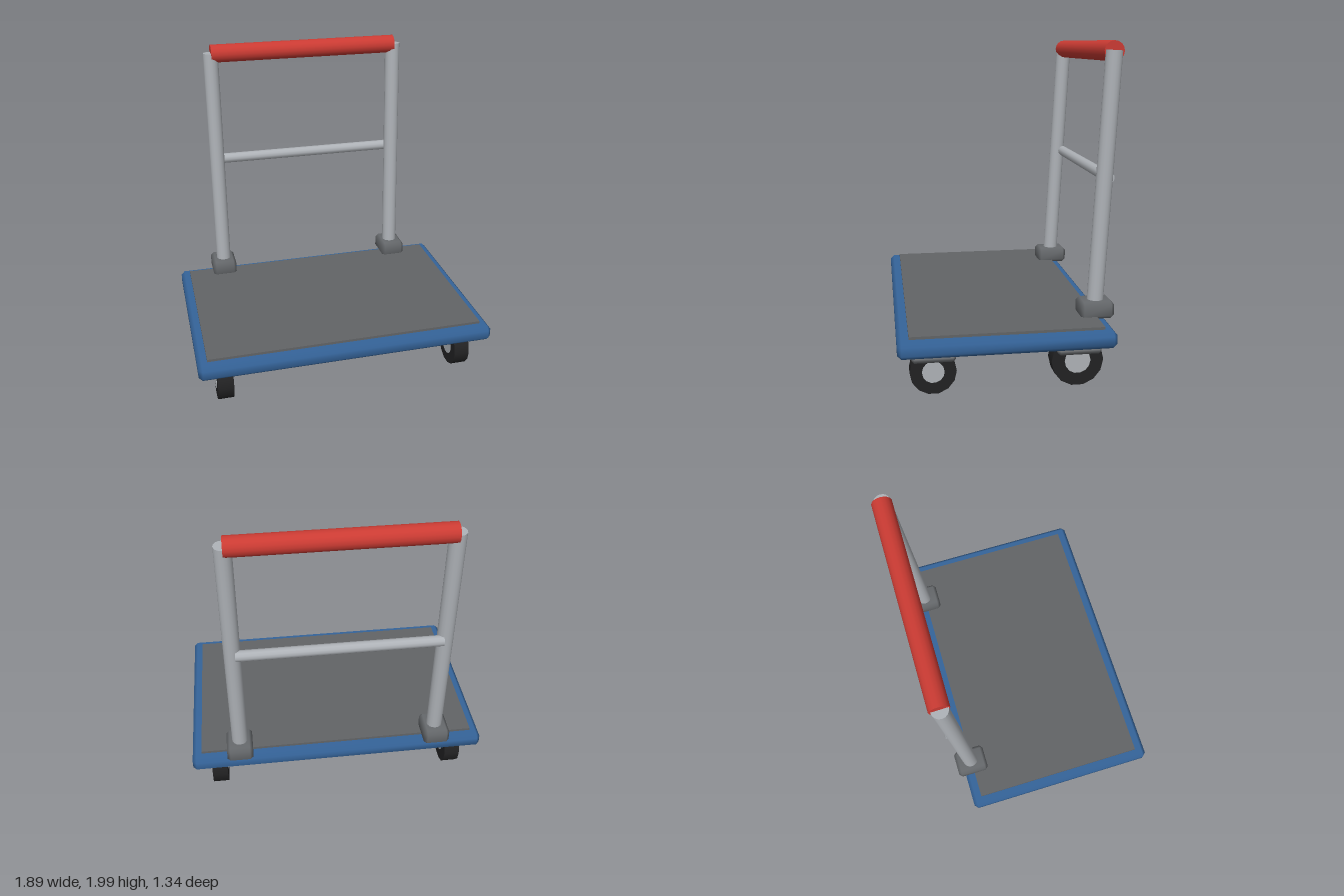
import * as THREE from 'three';
import { mergeVertices } from 'three/addons/utils/BufferGeometryUtils.js';
import { ConvexGeometry } from 'three/addons/geometries/ConvexGeometry.js';

const material = (name, color) => {
  const m = new THREE.MeshStandardMaterial({ color });
  m.name = name;
  return m;
};

// Box with chamfered edges and softened normals
function chamferBox(w, h, d, c) {
  const points = [];
  for (const x of [-1, 1]) for (const y of [-1, 1]) for (const z of [-1, 1]) {
    const [X, Y, Z] = [w / 2, h / 2, d / 2];
    points.push(
      new THREE.Vector3(x * X, y * (Y - c), z * (Z - c)),
      new THREE.Vector3(x * (X - c), y * Y, z * (Z - c)),
      new THREE.Vector3(x * (X - c), y * (Y - c), z * Z));
  }
  const g = new ConvexGeometry(points);
  g.deleteAttribute('normal');
  const smooth = mergeVertices(g, 1e-5);
  smooth.computeVertexNormals();
  return smooth;
}

// Cylinder lying along x
const crossCylinder = (r, length, sides) =>
  new THREE.CylinderGeometry(r, r, length, sides).rotateZ(Math.PI / 2);

export function createModel() {
  const blue = material('blue deck', 0x35649a);
  const mat = material('grey mat', 0x626466);
  const bracketGrey = material('bracket grey', 0x66696c);
  const steel = material('light steel', 0xaeb2b7);
  const red = material('red grip', 0xcb3b33);
  const rubber = material('black rubber', 0x222223);

  const model = new THREE.Group();
  model.name = 'platformTrolley';
  const add = (name, geometry, mtl, x, y, z, parent = model) => {
    const mesh = new THREE.Mesh(geometry, mtl);
    mesh.name = name;
    mesh.position.set(x, y, z);
    parent.add(mesh);
    return mesh;
  };

  // Platform with its mat
  add('deck', chamferBox(1.89, 0.1, 1.26, 0.024), blue, 0, 0.31, 0.04);
  add('deckMat', new THREE.BoxGeometry(1.77, 0.025, 1.13), mat, 0, 0.3635, 0.038);

  // Leaning posts in their brackets
  const bottom = new THREE.Vector3(0, 0.38, -0.527);
  const top = new THREE.Vector3(0, 1.945, -0.61);
  const lean = top.clone().sub(bottom);
  const middle = bottom.clone().add(top).multiplyScalar(0.5);
  for (const side of [1, -1]) {
    const label = side > 0 ? 'left' : 'right';
    add(label + 'Bracket', chamferBox(0.165, 0.105, 0.205, 0.02), bracketGrey, side * 0.636, 0.4125, -0.53);
    const post = add(label + 'Post', new THREE.CylinderGeometry(0.05, 0.05, lean.length(), 16), steel,
      side * 0.633, middle.y, middle.z);
    post.quaternion.setFromUnitVectors(new THREE.Vector3(0, 1, 0), lean.clone().normalize());
  }

  // Handle bars
  add('crossBar', crossCylinder(0.034, 1.23, 12), steel, 0, 1.2, -0.605);
  add('grip', crossCylinder(0.06, 1.265, 16), red, 0, 1.94, -0.612);

  // Four casters, the rear pair larger
  const axles = [
    { name: 'front', z: 0.465, r: 0.135, hub: 0.065, plate: 0.25 },
    { name: 'rear', z: -0.38, r: 0.155, hub: 0.077, plate: 0.26 },
  ];
  for (const a of axles) for (const side of [1, -1]) {
    const caster = new THREE.Group();
    caster.name = a.name + (side > 0 ? 'Left' : 'Right') + 'Caster';
    caster.position.set(side * 0.78, 0, a.z);
    model.add(caster);
    add('plate', chamferBox(0.23, 0.045, a.plate, 0.016), bracketGrey, 0, 0.2375, 0, caster);
    add('tyre', crossCylinder(a.r, 0.1, 14), rubber, 0, a.r + 0.003, 0, caster);
    add('hub', crossCylinder(a.hub, 0.108, 14), steel, 0, a.r + 0.003, 0, caster);
  }
  return model;
}
